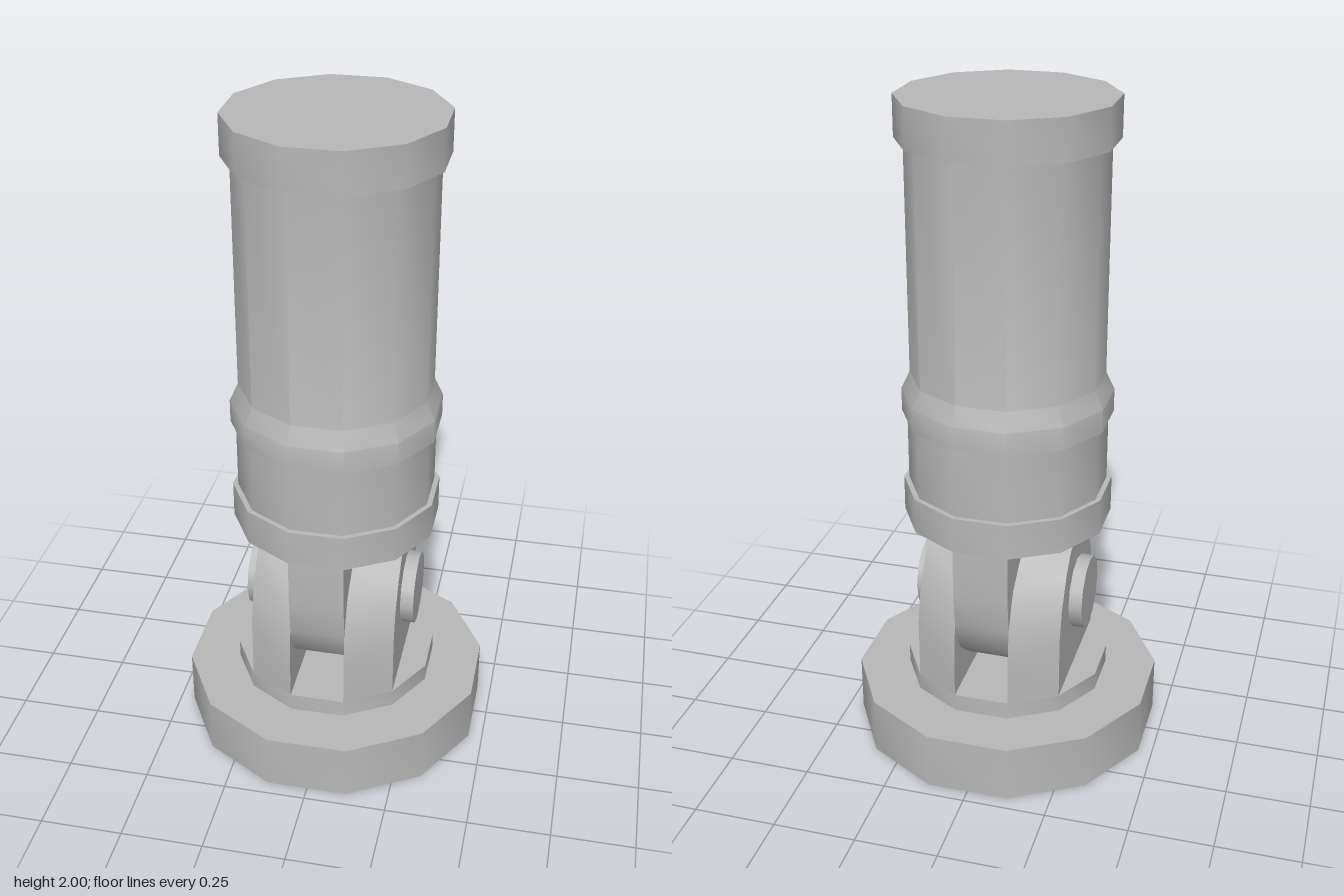
import * as THREE from 'three';
import { toCreasedNormals } from 'three/addons/utils/BufferGeometryUtils.js';

const SIDES = 12;
const CREASE = 0.65;
const APOTHEM = Math.cos(Math.PI / SIDES);

// Twelve-sided turned part; each point is [flat-to-centre distance, height]
function turned(points) {
  const profile = points.map(([r, y]) => new THREE.Vector2(r / APOTHEM, y));
  const lathe = new THREE.LatheGeometry(profile, SIDES, Math.PI / SIDES);
  return toCreasedNormals(lathe, CREASE);
}

// Closed outline from one half, given as [half width, height] from base to crown
function outline(half) {
  return [...half.map(([z, y]) => [-z, y]), ...half.slice().reverse()];
}

// Solid between two matching convex outlines at x0 and x1
function loft(a, b, x0, x1) {
  const n = a.length;
  const pos = [];
  const A = (i) => [x0, a[i % n][1], a[i % n][0]];
  const B = (i) => [x1, b[i % n][1], b[i % n][0]];
  for (let i = 0; i < n; i++) {
    pos.push(...A(i), ...A(i + 1), ...B(i + 1), ...A(i), ...B(i + 1), ...B(i));
    if (i > 0 && i < n - 1) {
      pos.push(...B(0), ...B(i), ...B(i + 1), ...A(0), ...A(i + 1), ...A(i));
    }
  }
  const geometry = new THREE.BufferGeometry();
  geometry.setAttribute('position', new THREE.Float32BufferAttribute(pos, 3));
  return toCreasedNormals(geometry, CREASE);
}

export function createModel() {
  const model = new THREE.Group();
  model.name = 'pivotingCylinder';
  const grey = new THREE.MeshStandardMaterial({ color: 0xb8b8b8 });
  grey.name = 'grey';

  const add = (name, geometry) => {
    const mesh = new THREE.Mesh(geometry, grey);
    mesh.name = name;
    model.add(mesh);
    return mesh;
  };

  // Foot plate with raised collar
  add('basePlate', turned([
    [0, 0], [0.457, 0], [0.457, 0.175], [0.304, 0.175], [0.304, 0.23], [0, 0.23],
  ]));

  // Pair of arched lugs, narrowing toward their outer faces
  const arch = [[0.304, 0.36], [0.291, 0.48], [0.243, 0.585], [0.15, 0.66], [0.07, 0.68]];
  const inner = outline([[0.304, 0.23], ...arch]);
  const outer = outline([
    [0.222, 0.23], [0.222, 0.42], [0.2, 0.51], [0.15, 0.6], [0.1, 0.655], [0.035, 0.68],
  ]);
  const lug = loft(inner, outer, 0.083, 0.222);
  add('leftLug', lug);
  add('rightLug', lug).rotation.y = Math.PI;

  // Tongue hanging between the lugs: the same arch upside down
  const tongue = outline([[0.304, 0.22], ...arch]).map(([z, y]) => [z, 0.95 - y]).reverse();
  add('tongue', loft(tongue, tongue, -0.083, 0.083));

  // Hinge pin
  const pin = new THREE.CylinderGeometry(0.113, 0.113, 0.525, SIDES);
  pin.rotateZ(Math.PI / 2);
  pin.translate(0, 0.475, 0);
  add('hingePin', pin);

  // Upper body: collar, neck, flared tube and end cap
  add('lowerCollar', turned([[0, 0.73], [0.304, 0.73], [0.304, 0.84], [0, 0.84]]));
  add('neck', turned([[0.289, 0.84], [0.289, 1.06]]));
  add('tube', turned([
    [0, 1.06], [0.304, 1.06], [0.304, 1.13], [0.279, 1.185], [0.279, 1.88],
  ]));
  add('endCap', turned([[0, 1.88], [0.304, 1.88], [0.304, 2], [0, 2]]));

  return model;
}
